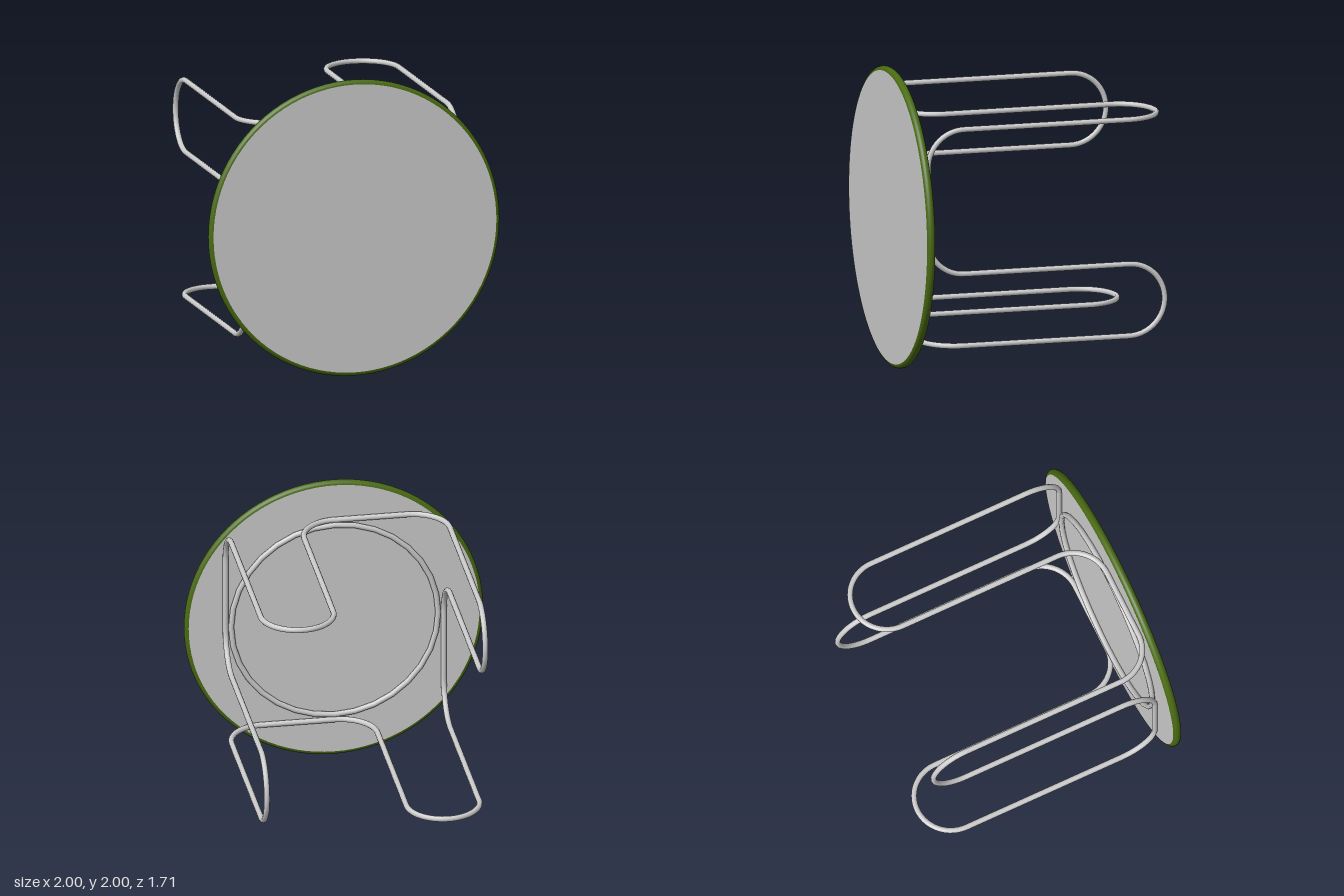
import * as THREE from 'three';

const WIRE = 0.019;      // wire radius
const SIDE = 0.73;       // distance of the leg planes from the axis
const INNER = 0.245;     // position of each loop's inner leg
const BASE = 0.781;      // z of the wire against the tabletop
const BEND = 0.245;      // bend radius at the tabletop
const TIP = -0.836;      // z of the loop ends

// One closed wire: the same run of bends repeated on four sides
function wirePath() {
  const path = new THREE.CurvePath();
  const shoulder = BASE - BEND;
  const r = (SIDE - INNER) / 2;
  const mid = INNER + r;
  const k = 0.5523;
  for (let i = 0; i < 4; i++) {
    const at = (s, z) =>
      new THREE.Vector3(s, SIDE, z).applyAxisAngle(new THREE.Vector3(0, 0, 1), -i * Math.PI / 2);
    const line = (a, b) => path.add(new THREE.LineCurve3(at(...a), at(...b)));
    // Quarter bend from a to b; c is the corner where the tangents meet
    const bend = (a, c, b) => {
      const A = at(...a), B = at(...b), C = at(...c);
      path.add(new THREE.CubicBezierCurve3(A, A.clone().lerp(C, k), B.clone().lerp(C, k), B));
    };
    bend([-SIDE, shoulder], [-SIDE, BASE], [-SIDE + BEND, BASE]);
    line([-SIDE + BEND, BASE], [0, BASE]);
    bend([0, BASE], [INNER, BASE], [INNER, shoulder]);
    line([INNER, shoulder], [INNER, TIP + r]);
    bend([INNER, TIP + r], [INNER, TIP], [mid, TIP]);
    bend([mid, TIP], [SIDE, TIP], [SIDE, TIP + r]);
    line([SIDE, TIP + r], [SIDE, shoulder]);
  }
  return path;
}

export function createModel() {
  const model = new THREE.Group();
  model.name = 'table';
  const grey = new THREE.MeshStandardMaterial({ color: 0xcccccc });
  const green = new THREE.MeshStandardMaterial({ color: 0x4a6b12 });
  const add = (name, geometry, material, z = 0) => {
    const mesh = new THREE.Mesh(geometry, material);
    mesh.name = name;
    mesh.position.set(0, 1, z);
    model.add(mesh);
  };

  // Round tabletop with a half-round edge band
  const half = 0.0275, topZ = 0.8275, topR = 1 - half;
  add('tabletop', new THREE.CylinderGeometry(topR, topR, half * 2, 96).rotateX(Math.PI / 2), grey, topZ);
  const profile = [];
  for (let i = 0; i <= 10; i++) {
    const a = -Math.PI / 2 + (Math.PI * i) / 10;
    profile.push(new THREE.Vector2(topR + half * Math.cos(a), half * Math.sin(a)));
  }
  add('edgeBand', new THREE.LatheGeometry(profile, 96).rotateX(Math.PI / 2), green, topZ);

  // Support ring and looped wire legs
  add('supportRing', new THREE.TorusGeometry(0.692, WIRE, 10, 32), grey, BASE);
  add('wireLegs', new THREE.TubeGeometry(wirePath(), 560, WIRE, 10, true), grey);
  return model;
}
